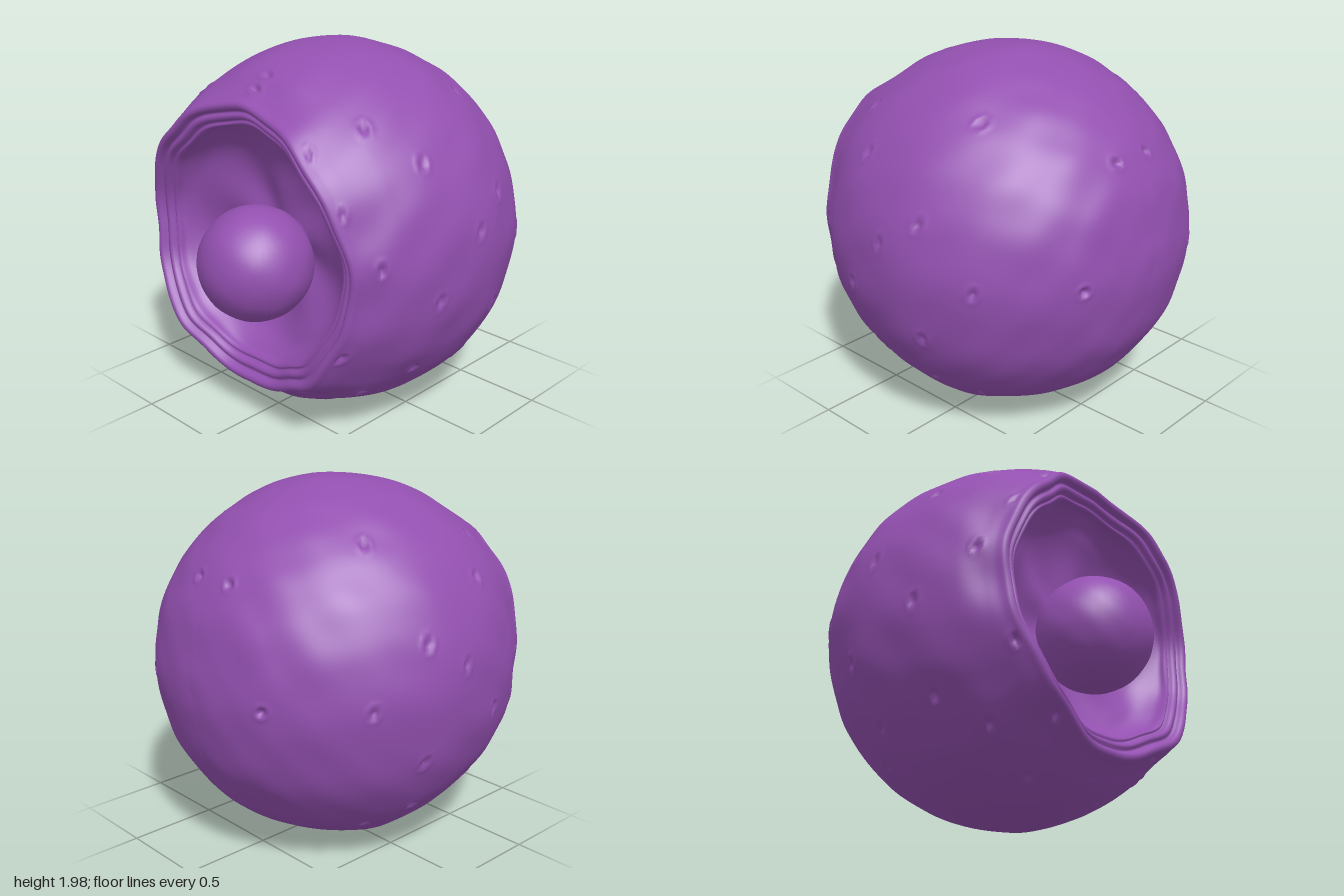
import * as THREE from 'three';
import { mergeVertices } from 'three/addons/utils/BufferGeometryUtils.js';

const purple = new THREE.MeshStandardMaterial({ color: 0x9350b0 });
purple.name = 'purple';

// Pits in the hide as [z, y] on the side; mirrored left and right
const pitSpots = [
  [0.44, 1.68], [0.27, 1.53], [0.67, 1.57], [0.67, 1.34], [0.58, 1.09], [0.02, 1.17], [-0.2, 1.31],
  [-0.29, 1.76], [-0.5, 1.01], [-0.2, 0.69], [0.28, 0.87], [0.66, 0.64], [0.27, 0.44], [-0.12, 0.38],
  [0.44, 0.32], [0.65, 0.36], [-0.28, 0.25], [0.41, 0.14], [-0.88, 1.0], [-0.8, 1.57], [0.52, 1.86],
];
const pits = pitSpots.map(([z, y]) => {
  const x = Math.sqrt(Math.max(0, 0.98 - z * z - (y - 1) ** 2));
  return new THREE.Vector3(x, y - 1, z).normalize();
});
pits.push(new THREE.Vector3(0, 0.83, 0.64).normalize());

const smooth = THREE.MathUtils.smoothstep;

// Soft uneven lumps
function lumps(x, y, z) {
  return 0.4 * Math.sin(7 * x + 3 * y + 1) * Math.sin(6 * y - 4 * z)
    + 0.35 * Math.sin(15 * y + 5 * z) * Math.sin(13 * z - 6 * x + 2)
    + 0.25 * Math.sin(21 * x + 4) * Math.sin(19 * y + 9 * z);
}

// Height of the skin around the nearest pit: a dent with a raised lip
function pitHeight(dir) {
  let nearest = 9;
  for (const p of pits) nearest = Math.min(nearest, dir.distanceTo(p));
  return -0.024 * Math.exp(-((nearest / 0.02) ** 2))
    + 0.006 * Math.exp(-(((nearest - 0.037) / 0.012) ** 2));
}

// Round shell, ridged rim and hollow front, turned about the z axis
function shellGeometry() {
  const profile = [
    [0, -0.935], [0.15, -0.93], [0.4, -0.86], [0.55, -0.775], [0.7, -0.65], [0.85, -0.45], [0.95, -0.2],
    [0.98, 0], [0.955, 0.27], [0.89, 0.48], [0.81, 0.63], [0.775, 0.69], [0.755, 0.733], [0.725, 0.735],
    [0.705, 0.695], [0.69, 0.71], [0.67, 0.705], [0.655, 0.67], [0.645, 0.685], [0.632, 0.67],
    [0.62, 0.62], [0.55, 0.54], [0.42, 0.475], [0.25, 0.44], [0, 0.42],
  ].map(([r, z]) => new THREE.Vector2(r, z));
  const points = new THREE.SplineCurve(profile).getSpacedPoints(220);
  points[0].x = 0;
  points[points.length - 1].x = 0;
  let geo = new THREE.LatheGeometry(points, 240);
  geo.rotateX(Math.PI / 2);
  geo.deleteAttribute('uv');
  geo.deleteAttribute('normal');
  geo = mergeVertices(geo, 1e-4);

  const pos = geo.attributes.position;
  const v = new THREE.Vector3();
  const dir = new THREE.Vector3();
  for (let i = 0; i < pos.count; i++) {
    v.fromBufferAttribute(pos, i);
    const len = v.length();
    const r = Math.hypot(v.x, v.y);
    const angle = Math.atan2(v.y, v.x);
    dir.set(Math.abs(v.x), v.y, v.z).normalize();
    const rim = smooth(v.z, 0.5, 0.7) * smooth(r, 0.55, 0.65);
    const hollow = v.z > 0.3 && len < 0.9 ? 1 - smooth(r, 0.5, 0.62) : 0;
    const n = lumps(Math.abs(v.x), v.y, v.z);
    // Dents and pits on the outside
    if (len > 0.93) {
      const outside = v.z < 0.7 && r > 0.76 || v.z < 0.6 ? pitHeight(dir) : 0;
      v.addScaledVector(dir.set(v.x, v.y, v.z).normalize(), 0.009 * n + outside);
    }
    // Wavy rim, set back at the top, bottom and sides
    v.z -= 0.032 * Math.cos(4 * angle) * rim;
    const wobble = 1 + rim * (0.008 * Math.sin(13 * angle) + 0.006 * Math.sin(7 * angle + 1));
    v.x *= wobble;
    v.y *= wobble * 1.008;
    // Folds in the hollow
    v.z += hollow * smooth(r, 0.05, 0.3) * 0.018 * Math.sin(5 * angle + 0.4);
    pos.setXYZ(i, v.x, v.y, v.z);
  }
  geo.computeVertexNormals();
  return geo;
}

// Slightly lumpy ball
function ballGeometry(radius) {
  let geo = new THREE.SphereGeometry(radius, 48, 32);
  geo.deleteAttribute('uv');
  geo.deleteAttribute('normal');
  geo = mergeVertices(geo, 1e-4);
  const pos = geo.attributes.position;
  const v = new THREE.Vector3();
  for (let i = 0; i < pos.count; i++) {
    v.fromBufferAttribute(pos, i);
    v.multiplyScalar(1 + 0.012 * lumps(2 * Math.abs(v.x), 2 * v.y, 2 * v.z));
    pos.setXYZ(i, v.x, v.y, v.z);
  }
  geo.computeVertexNormals();
  return geo;
}

export function createModel() {
  const model = new THREE.Group();
  model.name = 'hollowOrb';

  const shell = new THREE.Mesh(shellGeometry(), purple);
  shell.name = 'shell';
  shell.position.y = 1;
  model.add(shell);

  const ball = new THREE.Mesh(ballGeometry(0.305), purple);
  ball.name = 'frontBall';
  ball.position.set(0, 0.905, 0.635);
  model.add(ball);

  return model;
}
